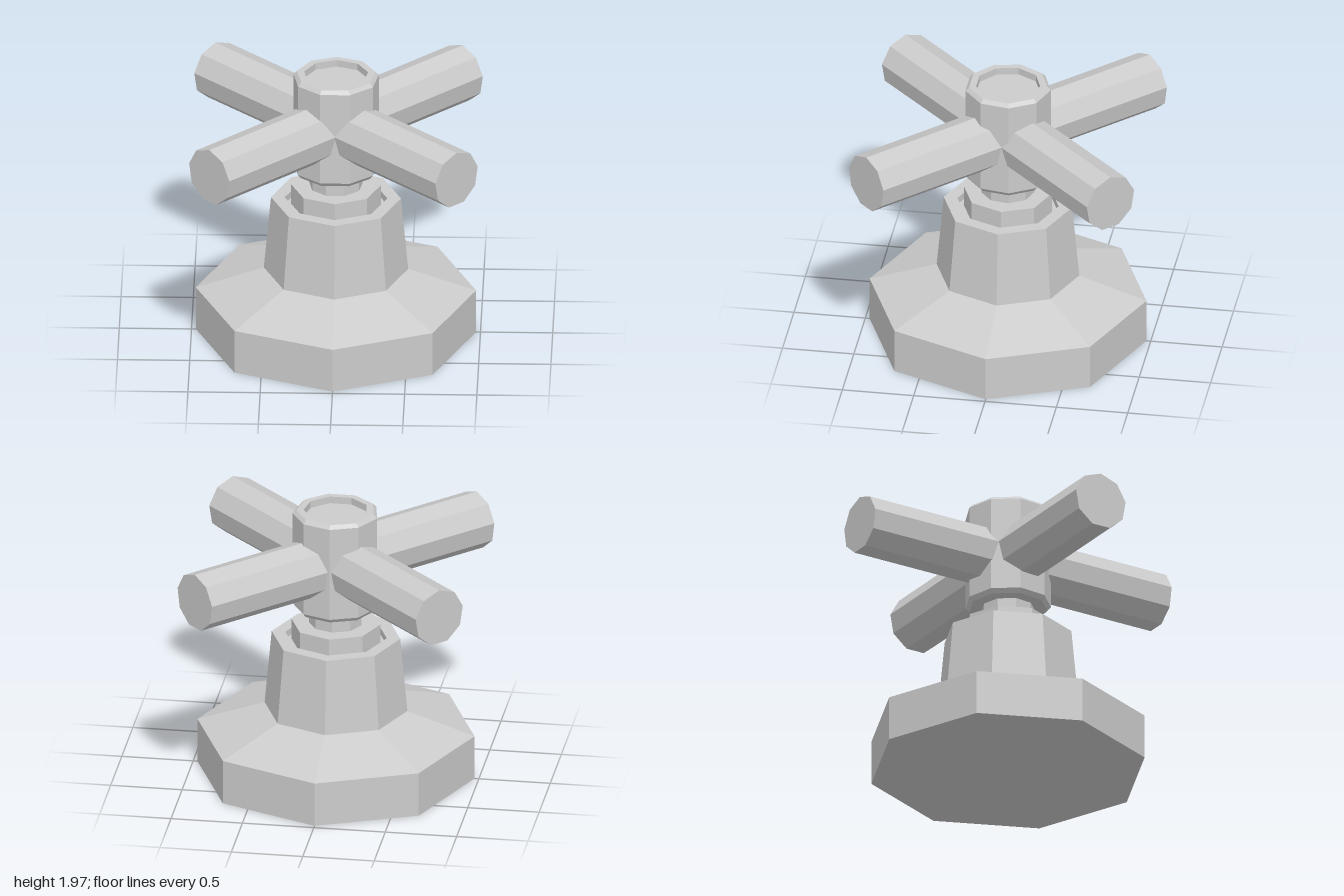
import * as THREE from 'three';

const material = new THREE.MeshStandardMaterial({ color: 0xcccccc, flatShading: true });

// Faceted turned part: profile of [radius, height] from bottom to top, one corner at the back
function turned(name, profile, sides) {
  const points = profile.map(([r, y]) => new THREE.Vector2(r, y));
  const mesh = new THREE.Mesh(new THREE.LatheGeometry(points, sides, Math.PI), material);
  mesh.name = name;
  return mesh;
}

export function createModel() {
  const group = new THREE.Group();
  group.name = 'valveTap';

  // Octagonal flange, tapered body and raised collar sitting in a shallow groove
  group.add(turned('base', [
    [0, 0], [0.97, 0], [0.97, 0.32], [0.5, 0.48], [0.45, 1.02],
    [0.355, 1.02], [0.355, 0.97], [0.31, 0.97], [0.31, 1.12], [0, 1.12],
  ], 8));

  // Nine-sided spindle between the collar and the handle
  group.add(turned('spindle', [[0.187, 1.1], [0.187, 1.26]], 9));

  // Handle: bevelled hub with a recessed top, and crossing bars
  const handle = new THREE.Group();
  handle.name = 'handle';
  handle.add(turned('hub', [
    [0, 1.235], [0.275, 1.235], [0.3, 1.265], [0.3, 1.945],
    [0.275, 1.97], [0.225, 1.97], [0.225, 1.92], [0, 1.92],
  ], 9));

  const barLength = 2.42;
  for (const side of [1, -1]) {
    const geometry = new THREE.CylinderGeometry(0.205, 0.205, barLength, 9, 1, false, Math.PI);
    geometry.rotateX(Math.PI / 2);
    const bar = new THREE.Mesh(geometry, material);
    bar.name = side > 0 ? 'crossBarA' : 'crossBarB';
    bar.position.y = 1.585;
    bar.rotation.y = side * Math.PI / 4;
    handle.add(bar);
  }
  group.add(handle);
  return group;
}
